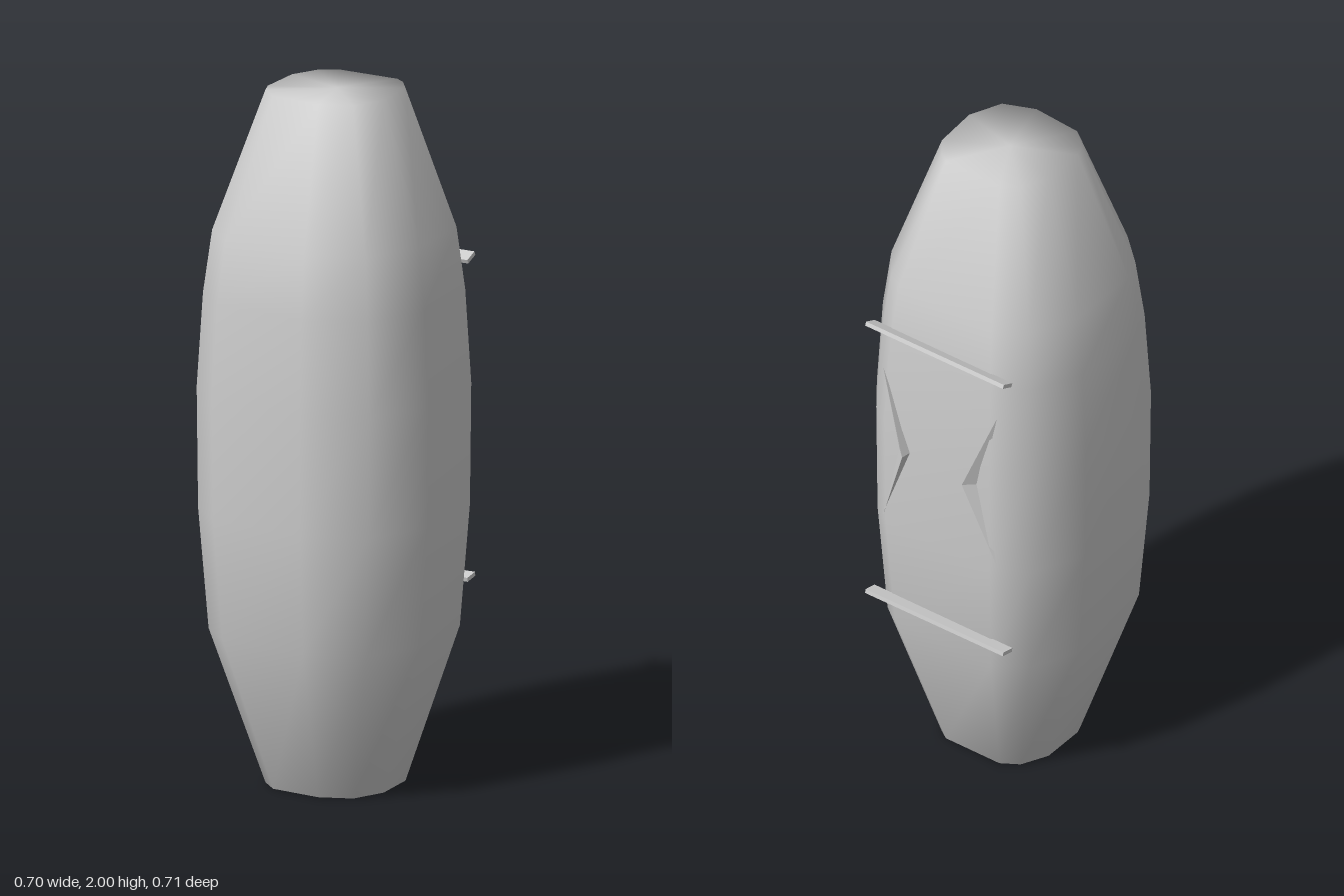
import * as THREE from 'three';

const grey = new THREE.MeshStandardMaterial({ color: 0xcccccc });
const flatGrey = new THREE.MeshStandardMaterial({ color: 0xcccccc, flatShading: true, side: THREE.DoubleSide });

// Widest cross-section as x, z corners, from +x towards +z
const SECTION = [
  [0.35, 0.09], [0.27, 0.28], [0.09, 0.355], [-0.21, 0.33], [-0.315, 0.235],
  [-0.345, 0.16], [-0.352, -0.11], [-0.28, -0.265], [-0.18, -0.328],
  [0.19, -0.325], [0.25, -0.285], [0.325, -0.185],
];
// Height and scale of each ring
const RINGS = [[0, 0.51], [0.45, 0.915], [0.8, 0.99], [1.15, 1], [1.42, 0.955], [1.6, 0.89], [2, 0.51]];

function meshFrom(name, positions, index, material) {
  const geometry = new THREE.BufferGeometry();
  geometry.setAttribute('position', new THREE.Float32BufferAttribute(positions, 3));
  geometry.setIndex(index);
  geometry.computeVertexNormals();
  const mesh = new THREE.Mesh(geometry, material);
  mesh.name = name;
  return mesh;
}

// Smooth swelling body, lofted through the rings and closed at both ends
function makeBody() {
  const n = SECTION.length;
  const positions = [];
  const index = [];
  for (const [y, s] of RINGS) {
    for (const [x, z] of SECTION) positions.push(x * s, y, z * s);
  }
  const bottom = RINGS.length * n;
  const top = bottom + 1;
  positions.push(0, 0, 0, 0, 2, 0);
  for (let j = 0; j < n; j++) {
    const k = (j + 1) % n;
    for (let i = 0; i < RINGS.length - 1; i++) {
      const a = i * n + j, b = i * n + k;
      index.push(a, a + n, b, b, a + n, b + n);
    }
    const last = (RINGS.length - 1) * n;
    index.push(bottom, j, k, top, last + k, last + j);
  }
  return meshFrom('body', positions, index, grey);
}

// Thin level blade across the back
function makeBlade(name, y, tilt) {
  const blade = new THREE.Mesh(new THREE.BoxGeometry(0.485, 0.012, 0.042), flatGrey);
  blade.name = name;
  blade.position.set(0, y, -0.324);
  blade.rotation.x = tilt;
  return blade;
}

// Bent sliver on the back, its ridge pointing to the middle
function makeChevron(name, side) {
  const points = [
    [0.2, 1.33, -0.318], // upper tip
    [0.2, 0.82, -0.318], // lower tip
    [0.105, 1.08, -0.355], // raised ridge
    [0.1, 1.08, -0.318], // inner root
    [0.145, 1.08, -0.318], // outer root
  ];
  const positions = points.flatMap(([x, y, z]) => [x * side, y, z]);
  const index = [0, 2, 3, 0, 4, 2, 1, 3, 2, 1, 2, 4];
  if (side < 0) index.reverse();
  return meshFrom(name, positions, index, flatGrey);
}

export function createModel() {
  const model = new THREE.Group();
  model.name = 'model';
  model.add(
    makeBody(),
    makeBlade('upperBlade', 1.467, 0.4),
    makeBlade('lowerBlade', 0.545, 0.2),
    makeChevron('leftChevron', 1),
    makeChevron('rightChevron', -1),
  );
  return model;
}
